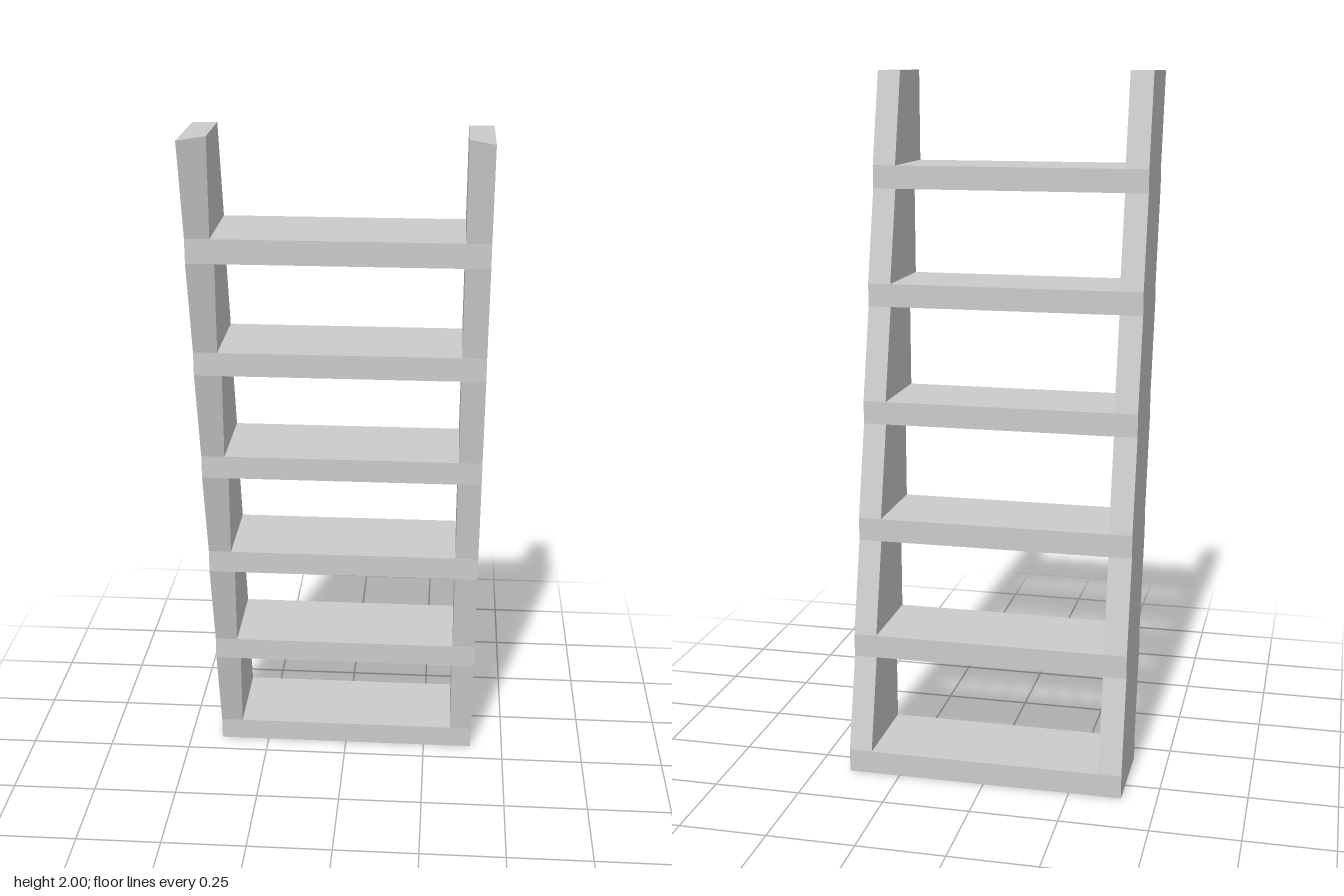
import * as THREE from 'three';

const U = 1 / 15;            // plank thickness and step of the lean
const PITCH = 5 * U;         // height from one rung to the next
const HALF = 0.4;            // half width
const DEPTH = 4 * U;
const COUNT = 6;

// Quads [a, b, c, d], each with one shared normal
function quadGeometry(quads) {
  const pos = [], nor = [];
  for (const [a, b, c, d] of quads) {
    const n = c.clone().sub(a).cross(d.clone().sub(b)).normalize();
    for (const p of [a, b, c, a, c, d]) {
      pos.push(p.x, p.y, p.z);
      nor.push(n.x, n.y, n.z);
    }
  }
  const g = new THREE.BufferGeometry();
  g.setAttribute('position', new THREE.Float32BufferAttribute(pos, 3));
  g.setAttribute('normal', new THREE.Float32BufferAttribute(nor, 3));
  return g;
}

// One rail bay: leans forward, its inner front edge stays upright
function railGeometry(side, capped) {
  const y0 = U, y1 = PITCH, f = DEPTH / 2, k = -DEPTH / 2;
  const p = (x, y, z) => new THREE.Vector3(side * x, y, z);
  const inner = HALF - U;
  const inF0 = p(inner, y0, f), inF1 = p(inner, y1, f);
  const inB0 = p(inner, y0, k), inB1 = p(inner, y1, k + U);
  const outF0 = p(HALF, y0, f), outF1 = p(HALF, y1, f + U);
  const outB0 = p(HALF, y0, k), outB1 = p(HALF, y1, k + U);
  const quads = [
    [inF0, outF0, outF1, inF1],
    [outF0, outB0, outB1, outF1],
    [outB0, inB0, inB1, outB1],
    [inB0, inF0, inF1, inB1],
  ];
  if (capped) quads.push([inF1, outF1, outB1, inB1]);
  return quadGeometry(side > 0 ? quads : quads.map(([a, b, c, d]) => [a, d, c, b]));
}

export function createModel() {
  const model = new THREE.Group();
  model.name = 'ladder';
  const material = new THREE.MeshStandardMaterial({ color: 0xcccccc });
  const rungGeometry = new THREE.BoxGeometry(2 * HALF, U, DEPTH).translate(0, U / 2, 0);

  // Each step carries a rung and the two rail bays above it
  for (let i = 0; i < COUNT; i++) {
    const step = new THREE.Group();
    step.name = `step${i + 1}`;
    step.position.set(0, i * PITCH, (i - 3) * U);

    const rung = new THREE.Mesh(rungGeometry, material);
    rung.name = 'rung';
    step.add(rung);

    for (const side of [1, -1]) {
      const rail = new THREE.Mesh(railGeometry(side, i === COUNT - 1), material);
      rail.name = side > 0 ? 'leftRail' : 'rightRail';
      step.add(rail);
    }
    model.add(step);
  }
  return model;
}
